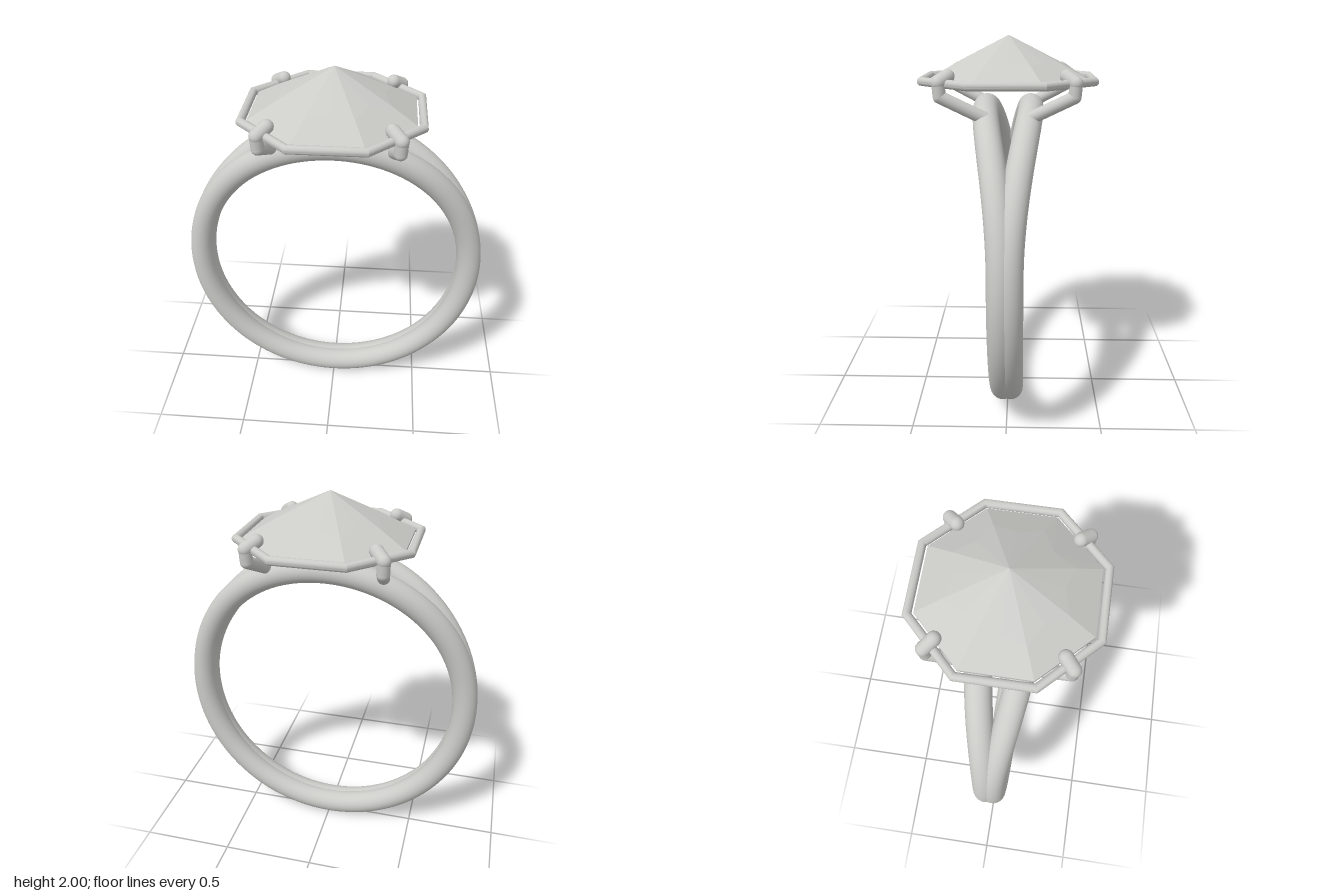
import * as THREE from 'three';
import { toCreasedNormals } from 'three/addons/utils/BufferGeometryUtils.js';

const silver = new THREE.MeshStandardMaterial({ color: 0xcbcbc8 });
silver.name = 'pale silver';

function add(parent, geometry, name) {
  const mesh = new THREE.Mesh(geometry, silver);
  mesh.name = name;
  parent.add(mesh);
  return mesh;
}

// Slightly oval strand whose sideways offset grows towards the top
function strandGeometry(side) {
  const points = [];
  for (let i = 0; i < 48; i++) {
    const a = (i / 48) * Math.PI * 2 - Math.PI / 2;
    const y = 0.85 + 0.783 * Math.sin(a);
    const t = Math.max(0, (y - 0.95) / 0.68);
    points.push(new THREE.Vector3(0.755 * Math.cos(a), y, side * (0.02 + 0.098 * t * t)));
  }
  const curve = new THREE.CatmullRomCurve3(points, true);
  return new THREE.TubeGeometry(curve, 160, 0.066, 24, true);
}

// Round-ended rod between two points
function rod(parent, a, b, radius, name) {
  const dir = b.clone().sub(a);
  const mesh = add(parent, new THREE.CapsuleGeometry(radius, dir.length(), 8, 18), name);
  mesh.position.copy(a).add(b).multiplyScalar(0.5);
  mesh.quaternion.setFromUnitVectors(new THREE.Vector3(0, 1, 0), dir.normalize());
}

// Octagonal gem: pointed crown, star-shaped ring of facets, flat base
function gemGeometry() {
  const pos = [];
  const at = (r, k, y) => {
    const a = (k * Math.PI) / 8;
    return [r * Math.sin(a), y, r * Math.cos(a)];
  };
  const tri = (a, b, c) => pos.push(...a, ...b, ...c);
  const apex = [0, 2, 0];
  const ring = (k) => (k % 2 ? at(0.305, k, 1.855) : at(0.245, k, 1.876));
  const girdle = (k) => at(0.438, k, 1.785);
  const base = (k) => at(0.438, k, 1.77);
  for (let k = 0; k < 16; k += 2) {
    const l = k - 1, r = k + 1;
    // Crown
    tri(apex, ring(l + 16), ring(k));
    tri(apex, ring(k), ring(r));
    // Side facets
    tri(ring(k), girdle(l), girdle(r));
    tri(ring(k), ring(l + 16), girdle(l));
    tri(ring(k), girdle(r), ring(r));
    // Edge and base
    tri(girdle(l), base(l), base(r));
    tri(girdle(l), base(r), girdle(r));
    tri([0, 1.77, 0], base(r), base(l));
  }
  const g = new THREE.BufferGeometry();
  g.setAttribute('position', new THREE.Float32BufferAttribute(pos, 3));
  g.computeVertexNormals();
  return g;
}

export function createModel() {
  const model = new THREE.Group();
  model.name = 'ring';

  // Split band
  const band = new THREE.Group();
  band.name = 'band';
  model.add(band);
  add(band, strandGeometry(1), 'frontStrand');
  add(band, strandGeometry(-1), 'backStrand');

  // Octagonal wire around the gem
  const wire = new THREE.TorusGeometry(0.469, 0.022, 16, 8);
  wire.rotateZ(Math.PI / 8);
  wire.rotateX(Math.PI / 2);
  wire.translate(0, 1.78, 0);
  add(model, toCreasedNormals(wire, 0.6), 'settingWire');

  add(model, gemGeometry(), 'gem');

  // Four bent prongs folding over the wire
  for (const sx of [-1, 1]) {
    for (const sz of [-1, 1]) {
      const prong = new THREE.Group();
      prong.name = 'prong';
      model.add(prong);
      const p = (x, y, z) => new THREE.Vector3(sx * x, y, sz * z);
      const path = [p(0.293, 1.6, 0.085), p(0.328, 1.72, 0.325), p(0.33, 1.785, 0.33), p(0.287, 1.815, 0.287)];
      const names = ['prongArm', 'prongPost', 'prongTip'];
      names.forEach((name, i) => rod(prong, path[i], path[i + 1], i === 2 ? 0.034 : 0.032, name));
    }
  }
  return model;
}
